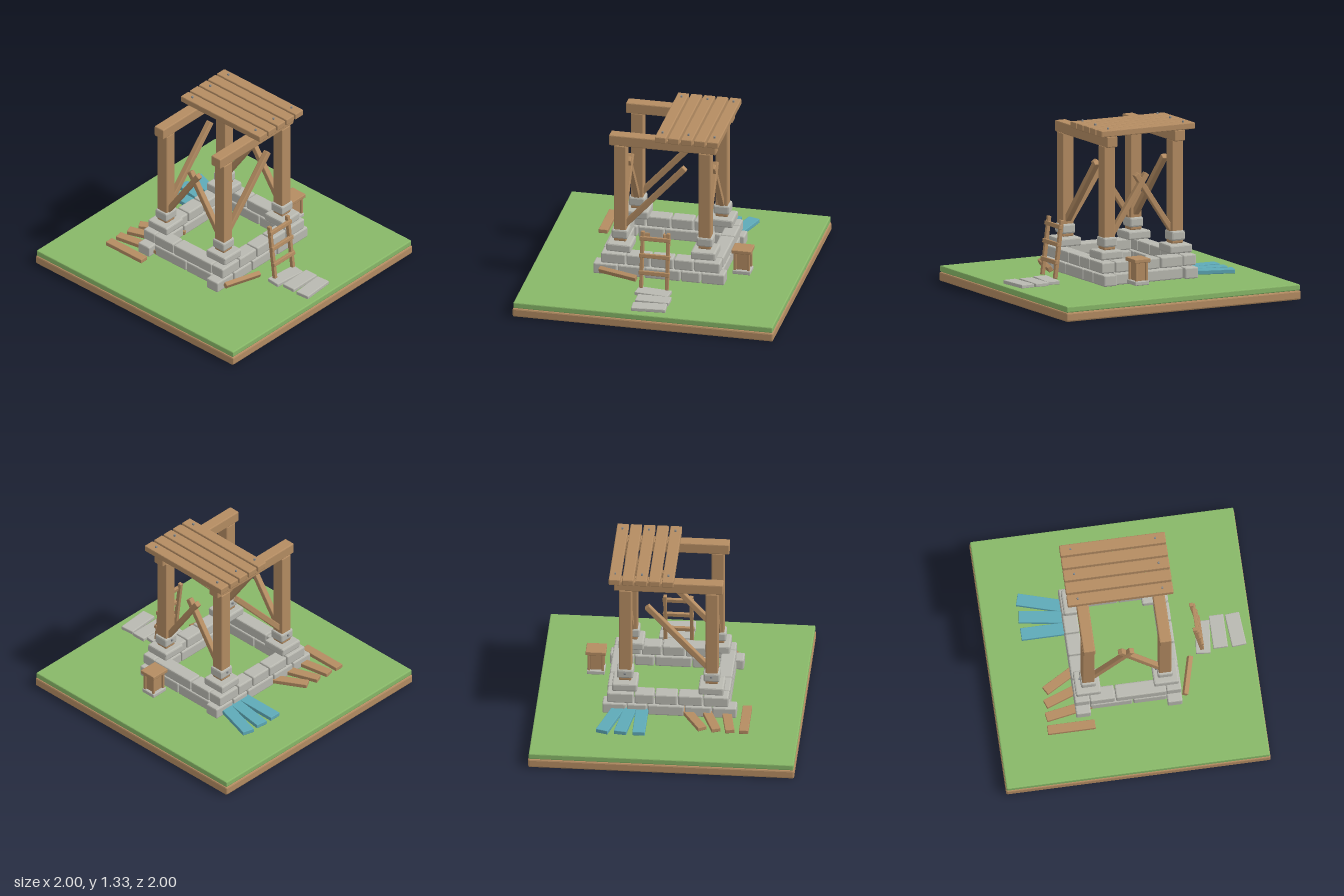
import * as THREE from 'three';
import { RoundedBoxGeometry } from 'three/addons/geometries/RoundedBoxGeometry.js';

const material = (name, color) => {
  const m = new THREE.MeshStandardMaterial({ color });
  m.name = name;
  return m;
};

export function createModel() {
  const wood = material('wood', 0xb48c62);
  const stone = material('stone', 0xb9b9b1);
  const grass = material('grass', 0x88b868);
  const blue = material('blue paint', 0x5eaab8);
  const metal = material('metal', 0x85888a);
  const model = new THREE.Group();
  model.name = 'unfinishedWell';

  // Block with chamfered edges, given by its centre and size
  function block(name, mat, [x, y, z], [w, h, d], bevel = 0.006, parent = model) {
    const geo = new RoundedBoxGeometry(w, h, d, 1, Math.min(bevel, w / 3, h / 3, d / 3));
    geo.computeVertexNormals();
    const mesh = new THREE.Mesh(geo, mat);
    mesh.name = name;
    mesh.position.set(x, y, z);
    parent.add(mesh);
    return mesh;
  }

  // Same block, given by its ranges along x, y and z
  const span = (name, mat, [x0, x1], [y0, y1], [z0, z1], bevel) =>
    block(name, mat, [(x0 + x1) / 2, (y0 + y1) / 2, (z0 + z1) / 2], [x1 - x0, y1 - y0, z1 - z0], bevel);

  // Square timber between two points
  function timber(name, a, b, t) {
    const from = new THREE.Vector3(...a), to = new THREE.Vector3(...b);
    const mid = from.clone().add(to).multiplyScalar(0.5);
    const mesh = block(name, wood, mid.toArray(), [t, from.distanceTo(to), t]);
    mesh.quaternion.setFromUnitVectors(new THREE.Vector3(0, 1, 0), to.sub(from).normalize());
    return mesh;
  }

  // Ground slab
  span('groundBase', wood, [-1, 1], [0.005, 0.075], [-1, 1], 0.012);
  span('grassLayer', grass, [-0.995, 0.995], [0.075, 0.122], [-0.995, 0.995], 0.008);

  // Front and back wall courses
  const lower = [-0.52, -0.33, -0.125, 0.155, 0.31, 0.495];
  const upper = [-0.46, -0.265, -0.075, 0.1, 0.255, 0.46];
  for (const s of [-1, 1]) {
    const z = s > 0 ? [0.29, 0.402] : [-0.402, -0.29];
    for (let i = 0; i < 5; i++) {
      span('lowerWallStone', stone, [lower[i] + 0.004, lower[i + 1] - 0.004], [0.14, 0.226], z, 0.01);
      span('upperWallStone', stone, [upper[i] + 0.004, upper[i + 1] - 0.004], [0.234, 0.318], z, 0.01);
    }
    // Side wall courses
    const x = s > 0 ? [0.35, 0.46] : [-0.46, -0.35];
    span('lowerSideStone', stone, x, [0.14, 0.226], [-0.288, 0.03], 0.01);
    span('lowerSideStone', stone, x, [0.14, 0.226], [0.038, 0.288], 0.01);
    span('upperSideStone', stone, x, [0.234, 0.318], [-0.288, -0.1], 0.01);
    span('upperSideStone', stone, x, [0.234, 0.318], [-0.092, 0.288], 0.01);
  }

  // Piers, posts and bolts at the four corners
  for (const sx of [-1, 1]) for (const sz of [-1, 1]) {
    const x = sx * 0.325, z = sz * 0.29;
    const pier = block('pierStone', stone, [x, 0.36, z + sz * 0.005], [0.19, 0.065, 0.19], 0.012);
    pier.rotation.z = sx * sz * 0.02;
    block('postFootStone', stone, [x, 0.455, z], [0.125, 0.075, 0.115], 0.014);
    block('post', wood, [x, 0.79, z], [0.095, 0.79, 0.095], 0.008);
    block('footBolt', metal, [x, 0.465, z - 0.063], [0.016, 0.016, 0.014], 0.003);
  }

  // Main beams and their diagonal braces
  for (const s of [-1, 1]) {
    block('mainBeam', wood, [0, 1.222, s * 0.288], [0.82, 0.086, 0.09], 0.008);
    timber('longBrace', [-0.29, 0.525, s * 0.29], [0.165, 1.03, s * 0.29], 0.045);
    for (const x of [-0.325, 0.325]) {
      timber('crossBrace', [x + s * 0.002, 0.48, s * 0.27], [x + s * 0.002, 0.945, -s * 0.045], 0.043);
    }
  }

  // Roof planks with nails on every second one
  for (let i = 0; i < 5; i++) {
    const x = i * 0.1;
    block('roofPlank', wood, [x, 1.294, 0], [0.087, 0.05, 0.8], 0.007);
    if (i % 2 === 0) for (const z of [-0.32, 0.32])
      block('roofNail', metal, [x, 1.322, z], [0.014, 0.022, 0.014], 0.003);
  }

  // Ladder leaning backwards
  const ladder = new THREE.Group();
  ladder.name = 'ladder';
  ladder.position.set(0, 0.382, 0.579);
  ladder.rotation.x = -0.126;
  model.add(ladder);
  for (const x of [-0.1, 0.098]) block('ladderRail', wood, [x, 0, 0], [0.027, 0.445, 0.03], 0.004, ladder);
  for (const y of [-0.1, 0.035, 0.17]) block('ladderRung', wood, [0, y, 0.013], [0.235, 0.032, 0.025], 0.004, ladder);

  // Flat path stones
  [[-0.003, 0.625, -0.1], [0.025, 0.747, 0], [0.023, 0.877, 0.08]].forEach(([x, z, turn]) => {
    block('pathStone', stone, [x, 0.134, z], [0.26, 0.03, 0.11], 0.006).rotation.y = turn;
  });

  // Fanned loose planks behind the wall
  for (let i = 0; i < 4; i++)
    block('loosePlank', wood, [-0.59 + i * 0.134, 0.166, -0.45], [0.07, 0.032, 0.36], 0.004).rotation.y = i * 0.175;
  for (let i = 0; i < 3; i++)
    block('bluePlank', blue, [0.192 + i * 0.115, 0.17, -0.552], [0.094, 0.032, 0.34], 0.004).rotation.y = -i * 0.145;

  // Fallen timber in front
  const fallen = block('fallenTimber', wood, [-0.31, 0.188, 0.468], [0.31, 0.042, 0.036], 0.004);
  fallen.rotation.set(0.45, -0.245, 0.08);

  // Small stand with a stone foot, inner box, corner legs and top
  const cx = 0.582, cz = 0.163;
  block('standFoot', stone, [cx, 0.174, cz], [0.135, 0.032, 0.12], 0.006);
  block('standBox', wood, [cx, 0.262, cz], [0.09, 0.15, 0.075], 0.004);
  block('standTop', wood, [cx, 0.345, cz], [0.152, 0.03, 0.135], 0.005);
  for (const sx of [-1, 1]) for (const sz of [-1, 1])
    block('standLeg', wood, [cx + sx * 0.052, 0.262, cz + sz * 0.043], [0.018, 0.15, 0.018], 0.003);

  return model;
}
